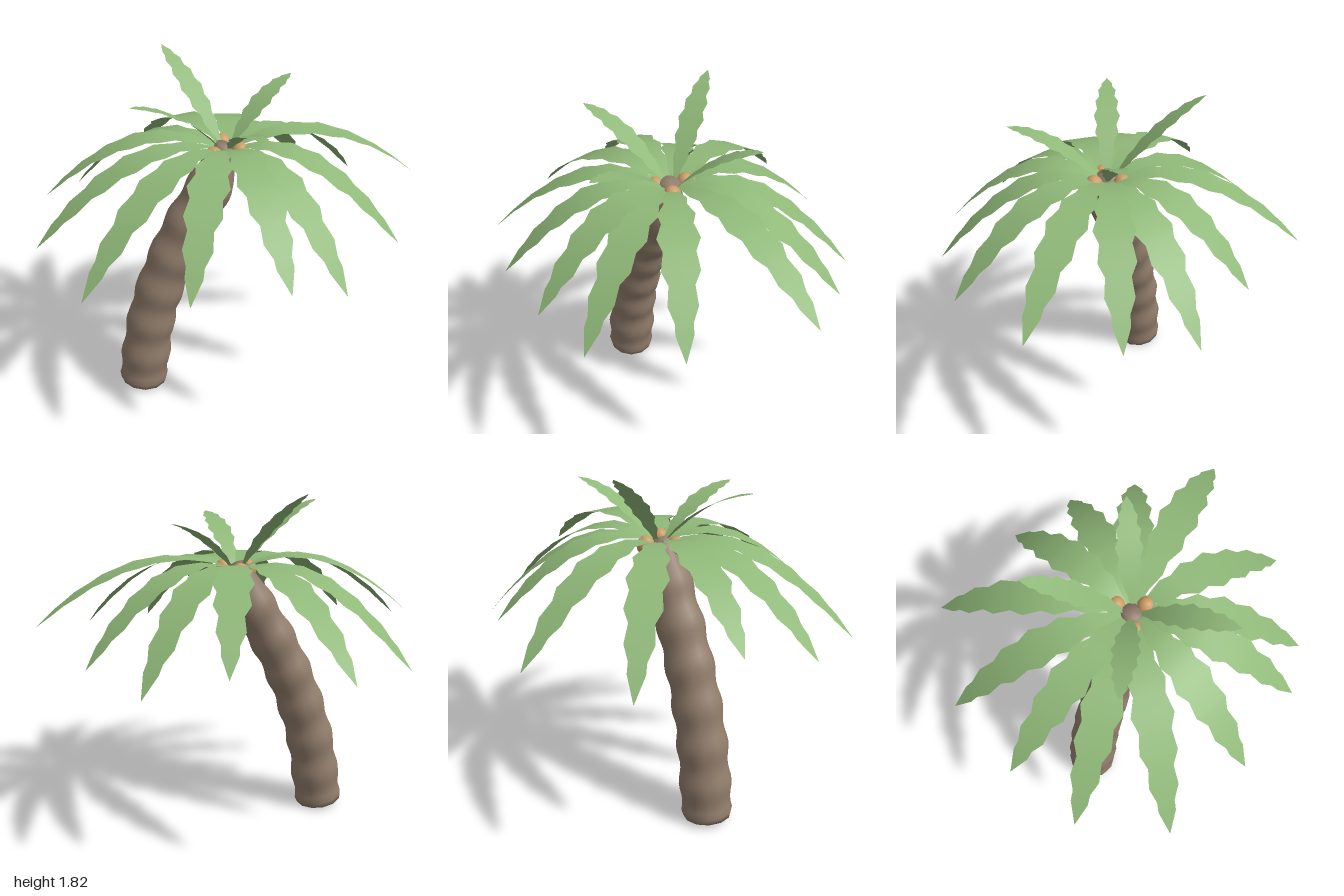
import * as THREE from 'three';
import { mergeVertices } from 'three/addons/utils/BufferGeometryUtils.js';

const CROWN = new THREE.Vector3(-0.045, 1.4, 0.035);

// Half width of a full-size leaf along its length: a run of teeth and notches
const LEAF = [
  [0, 0.012], [0.1, 0.03], [0.19, 0.06], [0.26, 0.055], [0.35, 0.09], [0.42, 0.075],
  [0.51, 0.102], [0.58, 0.076], [0.67, 0.09], [0.73, 0.06], [0.81, 0.07], [0.87, 0.042],
  [0.91, 0.042], [1, 0.001],
];

// Flat toothed strip that follows an arc from the crown to its tip
function frondGeometry(tip, controlY, controlAt, scale) {
  const out = new THREE.Vector3(tip.x - CROWN.x, 0, tip.z - CROWN.z);
  const reach = out.length();
  out.normalize();
  const side = new THREE.Vector3(out.z, 0, -out.x);
  const start = CROWN.clone().addScaledVector(out, 0.03);
  const control = CROWN.clone().addScaledVector(out, reach * controlAt).setY(controlY);
  const arc = new THREE.QuadraticBezierCurve3(start, control, tip);
  const positions = [], index = [];
  LEAF.forEach(([t, w], i) => {
    const p = arc.getPoint(t);
    for (const s of [-1, 0, 1]) {
      positions.push(p.x + side.x * w * s * scale, p.y, p.z + side.z * w * s * scale);
    }
    if (i === 0) return;
    const a = 3 * (i - 1), b = 3 * i;
    for (const k of [0, 1]) {
      index.push(a + k, a + k + 1, b + k, a + k + 1, b + k + 1, b + k);
    }
  });
  const geometry = new THREE.BufferGeometry();
  geometry.setAttribute('position', new THREE.Float32BufferAttribute(positions, 3));
  geometry.setIndex(index);
  geometry.computeVertexNormals();
  return geometry;
}

// Leaning cylinder with swelling rings and a tapered top
function trunkGeometry() {
  const path = new THREE.CatmullRomCurve3([
    [-0.53, 0.02], [-0.505, 0.2], [-0.47, 0.4], [-0.415, 0.6], [-0.34, 0.8],
    [-0.245, 1.0], [-0.12, 1.22], [-0.045, 1.42],
  ].map(([x, y]) => new THREE.Vector3(x, y, 0.04)));
  const length = path.getLength();
  const geometry = new THREE.CylinderGeometry(1, 1, 1, 12, 48);
  const pos = geometry.attributes.position;
  for (let i = 0; i < pos.count; i++) {
    const t = THREE.MathUtils.clamp(pos.getY(i) + 0.5, 0, 1);
    const c = path.getPointAt(t), d = path.getTangentAt(t);
    let r = 0.135 - 0.022 * t + 0.007 * Math.cos((2 * Math.PI * (t * length - 0.19)) / 0.21);
    r = THREE.MathUtils.lerp(r, 0.045, THREE.MathUtils.smoothstep(t, 0.86, 1.02));
    if (t < 0.01) r -= 0.014;
    const x = pos.getX(i) * r, z = pos.getZ(i) * r;
    pos.setXYZ(i, c.x + d.y * x, c.y - d.x * x, c.z + z);
  }
  geometry.deleteAttribute('normal');
  geometry.deleteAttribute('uv');
  const welded = mergeVertices(geometry, 1e-5);
  welded.computeVertexNormals();
  return welded;
}

export function createModel() {
  const group = new THREE.Group();
  const bark = new THREE.MeshStandardMaterial({ color: 0x917d6b });
  bark.name = 'bark';
  const leaf = new THREE.MeshStandardMaterial({ color: 0x8fb878, side: THREE.DoubleSide });
  leaf.name = 'leaf green';
  const nut = new THREE.MeshStandardMaterial({ color: 0xcb9d65 });
  nut.name = 'coconut tan';

  const add = (name, geometry, material) => {
    const mesh = new THREE.Mesh(geometry, material);
    mesh.name = name;
    group.add(mesh);
    return mesh;
  };

  add('trunk', trunkGeometry(), bark);

  // Drooping outer fronds, by tip position
  [
    [0.99, 1.15, -0.05], [0.75, 1.03, -0.41], [0.51, 0.97, -0.69], [0.13, 1.08, -0.79],
    [-0.41, 1.06, -0.9], [-0.8, 0.99, -0.56], [-0.95, 1.15, -0.1], [-1.0, 1.06, 0.28],
    [-0.8, 1.0, 0.69], [-0.34, 1.03, 0.85], [0.1, 1.06, 0.88], [0.38, 0.97, 0.8],
    [0.73, 1.03, 0.48],
  ].forEach((p) => {
    const tip = new THREE.Vector3(...p);
    add('outerFrond', frondGeometry(tip, 1.27 + 0.3 * tip.y, 0.48, 1), leaf);
  });

  // Smaller upright fronds: tip position and how strongly they arch
  [
    [-0.31, 1.82, -0.37, 0.68], [0.34, 1.68, -0.22, 0.83],
    [-0.52, 1.72, 0.25, 0.85], [0.05, 1.63, 0.54, 0.95],
  ].forEach(([x, y, z, arch]) => {
    const controlY = CROWN.y + (y - CROWN.y) * arch;
    add('innerFrond', frondGeometry(new THREE.Vector3(x, y, z), controlY, 0.5, 0.66), leaf);
  });

  // Coconuts around the top of the trunk
  [[-0.05, 1.39, -0.05], [0.02, 1.39, 0.075], [-0.115, 1.38, 0.09]].forEach((p) => {
    const mesh = add('coconut', new THREE.SphereGeometry(0.047, 10, 8), nut);
    mesh.scale.y = 1.1;
    mesh.position.set(...p);
  });

  return group;
}
